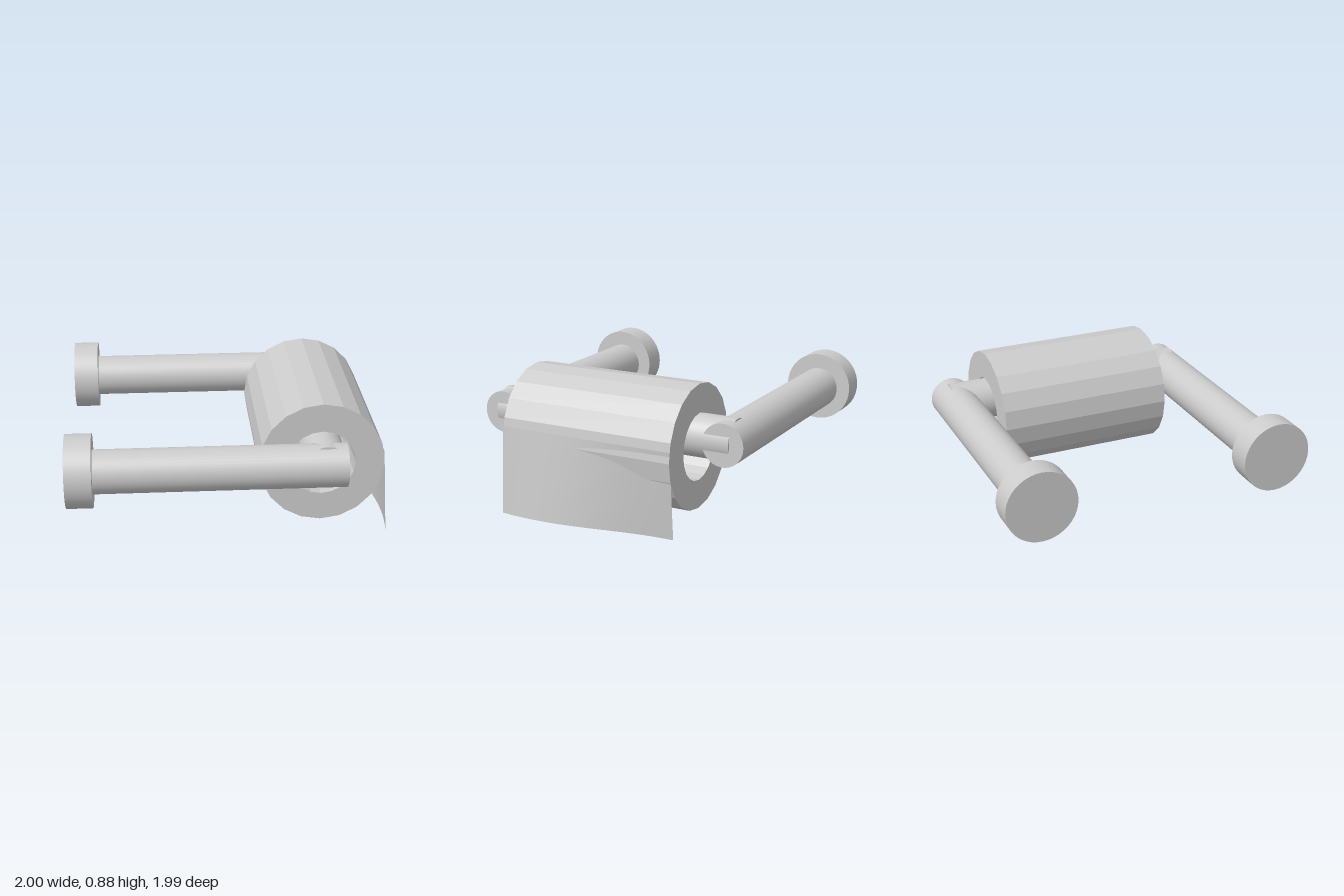
import * as THREE from 'three';

export function createModel() {
  const group = new THREE.Group();
  const smooth = new THREE.MeshStandardMaterial({ color: 0xcccccc });
  const faceted = new THREE.MeshStandardMaterial({ color: 0xcccccc, flatShading: true });
  const paper = new THREE.MeshStandardMaterial({ color: 0xcccccc, side: THREE.DoubleSide });

  const add = (name, geometry, material) => {
    const mesh = new THREE.Mesh(geometry, material);
    mesh.name = name;
    group.add(mesh);
    return mesh;
  };

  // Cylinder lying along x from x0 to x1
  const rodX = (name, r, x0, x1, y, z) => {
    const geo = new THREE.CylinderGeometry(r, r, x1 - x0, 40).rotateZ(-Math.PI / 2);
    add(name, geo, smooth).position.set((x0 + x1) / 2, y, z);
  };

  // Two wall mounts with their arms
  for (const [side, z] of [['left', 0.768], ['right', -0.771]]) {
    rodX(side + 'WallMount', 0.223, -1, -0.84, 0.563, z);
    rodX(side + 'Arm', 0.134, -0.84, 0.684, 0.555, z);
  }

  // Crossbar joining the arms
  const bar = new THREE.CylinderGeometry(0.134, 0.134, 1.625, 40).rotateX(Math.PI / 2);
  add('crossbar', bar, smooth).position.set(0.56, 0.56, 0);

  // Paper roll: twenty-sided ring with a hollow core
  const ring = (r) => Array.from({ length: 20 }, (_, i) => {
    const a = (i / 20) * Math.PI * 2;
    return new THREE.Vector2(r * Math.cos(a), r * Math.sin(a));
  });
  const section = new THREE.Shape(ring(0.39));
  section.holes.push(new THREE.Path(ring(0.21)));
  const roll = new THREE.ExtrudeGeometry(section, { depth: 1.15, bevelEnabled: false });
  add('paperRoll', roll, faceted).position.set(0.56, 0.485, -0.56);

  // Loose sheet: straight at the top, waving more towards its free edge
  const sheet = new THREE.PlaneGeometry(1.153, 0.552, 32, 8).rotateY(Math.PI / 2);
  sheet.translate(0, 0.276, 0.0165);
  const p = sheet.attributes.position;
  for (let i = 0; i < p.count; i++) {
    const drop = 1 - p.getY(i) / 0.552;
    p.setX(i, 0.946 + 0.052 * drop * Math.sin(((p.getZ(i) + 0.1) / 0.9) * Math.PI));
  }
  sheet.computeVertexNormals();
  add('looseSheet', sheet, paper);

  return group;
}
